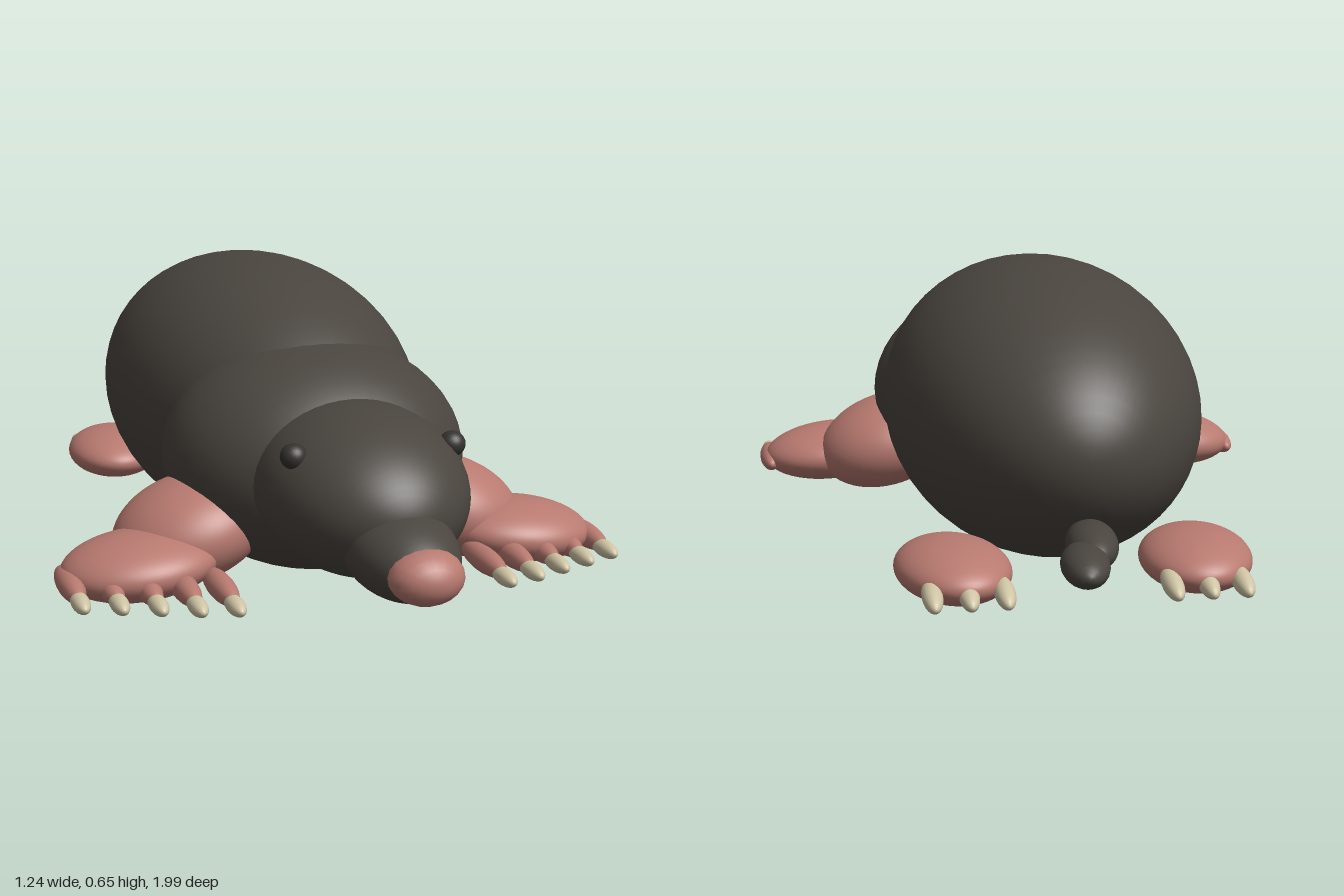
import * as THREE from 'three';

const mat = (name, color) => {
  const m = new THREE.MeshStandardMaterial({ color });
  m.name = name;
  return m;
};

export function createModel() {
  const fur = mat('dark fur', 0x4a453f);
  const skin = mat('pink skin', 0xb87a70);
  const claw = mat('pale claw', 0xcfc5a5);
  const eye = mat('dark eye', 0x35322f);

  const model = new THREE.Group();
  model.name = 'mole';

  // Ellipsoid with its poles along z
  const big = new THREE.SphereGeometry(1, 48, 32).rotateX(Math.PI / 2);
  const small = new THREE.SphereGeometry(1, 20, 14).rotateX(Math.PI / 2);
  const blob = (parent, name, material, pos, radii, rot = [0, 0, 0]) => {
    const mesh = new THREE.Mesh(Math.max(...radii) > 0.11 ? big : small, material);
    mesh.name = name;
    mesh.position.set(...pos);
    mesh.scale.set(...radii);
    mesh.rotation.set(...rot);
    parent.add(mesh);
    return mesh;
  };

  // Trunk and head
  blob(model, 'body', fur, [0, 0.33, -0.17], [0.347, 0.325, 0.62]);
  blob(model, 'shoulders', fur, [0, 0.275, 0.26], [0.335, 0.257, 0.34]);
  blob(model, 'head', fur, [0, 0.272, 0.56], [0.22, 0.175, 0.29], [0.06, 0, 0]);
  blob(model, 'snout', fur, [0, 0.202, 0.79], [0.112, 0.09, 0.175], [0.08, 0, 0]);
  blob(model, 'nose', skin, [0, 0.19, 0.93], [0.077, 0.056, 0.064], [0.1, 0, 0]);

  // Tail bends to the left
  blob(model, 'tailBase', fur, [0, 0.167, -0.79], [0.052, 0.044, 0.12], [0.05, -0.1, 0]);
  blob(model, 'tailTip', fur, [0.035, 0.16, -0.9], [0.048, 0.038, 0.1], [0, -0.1, 0]);

  for (const s of [1, -1]) {
    const side = s > 0 ? 'left' : 'right';
    blob(model, side + 'Eye', eye, [s * 0.172, 0.37, 0.645], [0.028, 0.027, 0.028]);

    // Broad digging foreleg
    const fore = new THREE.Group();
    fore.name = side + 'Foreleg';
    model.add(fore);
    blob(fore, 'upperArm', skin, [s * 0.3, 0.14, 0.315], [0.175, 0.112, 0.168], [0, 0, -s * 0.3]);
    blob(fore, 'palm', skin, [s * 0.435, 0.097, 0.405], [0.17, 0.069, 0.145], [0, 0, -s * 0.08]);
    [0.7, 0.68, 0.65, 0.62, 0.59].forEach((tip, i) => {
      const x = s * (0.297 + i * 0.0735);
      blob(fore, 'finger', skin, [x, 0.077, tip - 0.155], [0.027, 0.028, 0.105]);
      blob(fore, 'foreClaw', claw, [x, 0.071, tip - 0.05], [0.019, 0.019, 0.052]);
    });

    // Small hind foot pointing back
    const hind = new THREE.Group();
    hind.name = side + 'HindFoot';
    model.add(hind);
    blob(hind, 'foot', skin, [s * 0.255, 0.08, -0.62], [0.118, 0.06, 0.173], [0, s * 0.12, 0]);
    for (const x of [0.17, 0.242, 0.314]) {
      blob(hind, 'hindClaw', claw, [s * x, 0.07, -0.77], [0.021, 0.022, 0.064], [-0.15, 0, 0]);
    }
  }
  return model;
}
